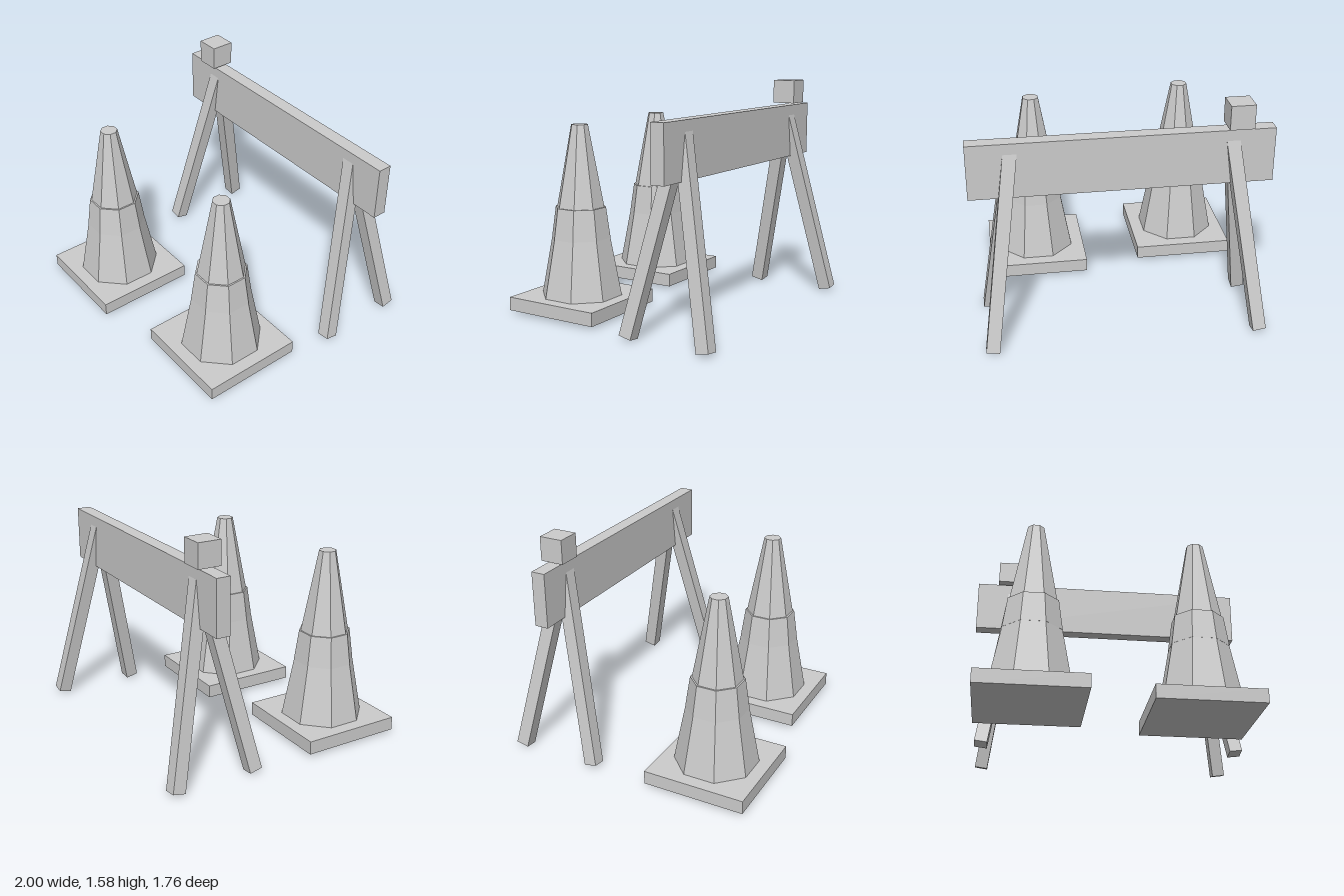
import * as THREE from 'three';

const material = new THREE.MeshStandardMaterial({ color: 0xcccccc, flatShading: true });

function addMesh(parent, name, geometry, x = 0, y = 0, z = 0) {
  const mesh = new THREE.Mesh(geometry, material);
  mesh.name = name;
  mesh.position.set(x, y, z);
  parent.add(mesh);
  return mesh;
}

// Eight-sided frustum with flats facing the axes; sizes are centre-to-flat
function octagonFrustum(topFlat, bottomFlat, height) {
  const k = 1 / Math.cos(Math.PI / 8);
  return new THREE.CylinderGeometry(topFlat * k, bottomFlat * k, height, 8).rotateY(Math.PI / 8);
}

function createCone(name, x, z) {
  const cone = new THREE.Group();
  cone.name = name;
  cone.position.set(x, 0, z);
  addMesh(cone, 'coneBase', new THREE.BoxGeometry(0.712, 0.094, 0.712), 0, 0.067, 0);
  addMesh(cone, 'coneBody', octagonFrustum(0.055, 0.265, 1.191), 0, 0.7095, 0);
  // Sleeve stands proud at the top and runs flush into the body below
  addMesh(cone, 'coneBand', octagonFrustum(0.166, 0.1945, 0.215), 0, 0.6275, 0);
  return cone;
}

// Square beam from foot to top, with its ends cut square
function addLeg(parent, name, foot, top) {
  const up = top.clone().sub(foot);
  const leg = addMesh(parent, name, new THREE.BoxGeometry(0.09, up.length(), 0.09));
  leg.position.copy(foot).add(top).multiplyScalar(0.5);
  up.normalize();
  const side = new THREE.Vector3(1, 0, 0).addScaledVector(up, -up.x).normalize();
  const front = new THREE.Vector3().crossVectors(side, up);
  leg.quaternion.setFromRotationMatrix(new THREE.Matrix4().makeBasis(side, up, front));
}

export function createModel() {
  const model = new THREE.Group();
  model.name = 'barrierAndCones';

  // Barrier: plank, lamp block and two splayed pairs of legs
  const barrier = new THREE.Group();
  barrier.name = 'barrier';
  barrier.position.z = -0.55;
  model.add(barrier);
  addMesh(barrier, 'plank', new THREE.BoxGeometry(2, 0.376, 0.096), 0, 1.212, 0);
  addMesh(barrier, 'lampBlock', new THREE.BoxGeometry(0.163, 0.165, 0.163), -0.763, 1.4975, 0);
  for (const sx of [1, -1]) {
    for (const sz of [1, -1]) {
      addLeg(
        barrier,
        (sz > 0 ? 'front' : 'back') + (sx > 0 ? 'Left' : 'Right') + 'Leg',
        new THREE.Vector3(0.904 * sx, 0.016, 0.286 * sz),
        new THREE.Vector3(0.716 * sx, 1.345, -0.002 * sz)
      );
    }
  }

  // Traffic cones
  model.add(createCone('rightCone', -0.599, 0.521));
  model.add(createCone('leftCone', 0.521, 0.403));
  return model;
}
